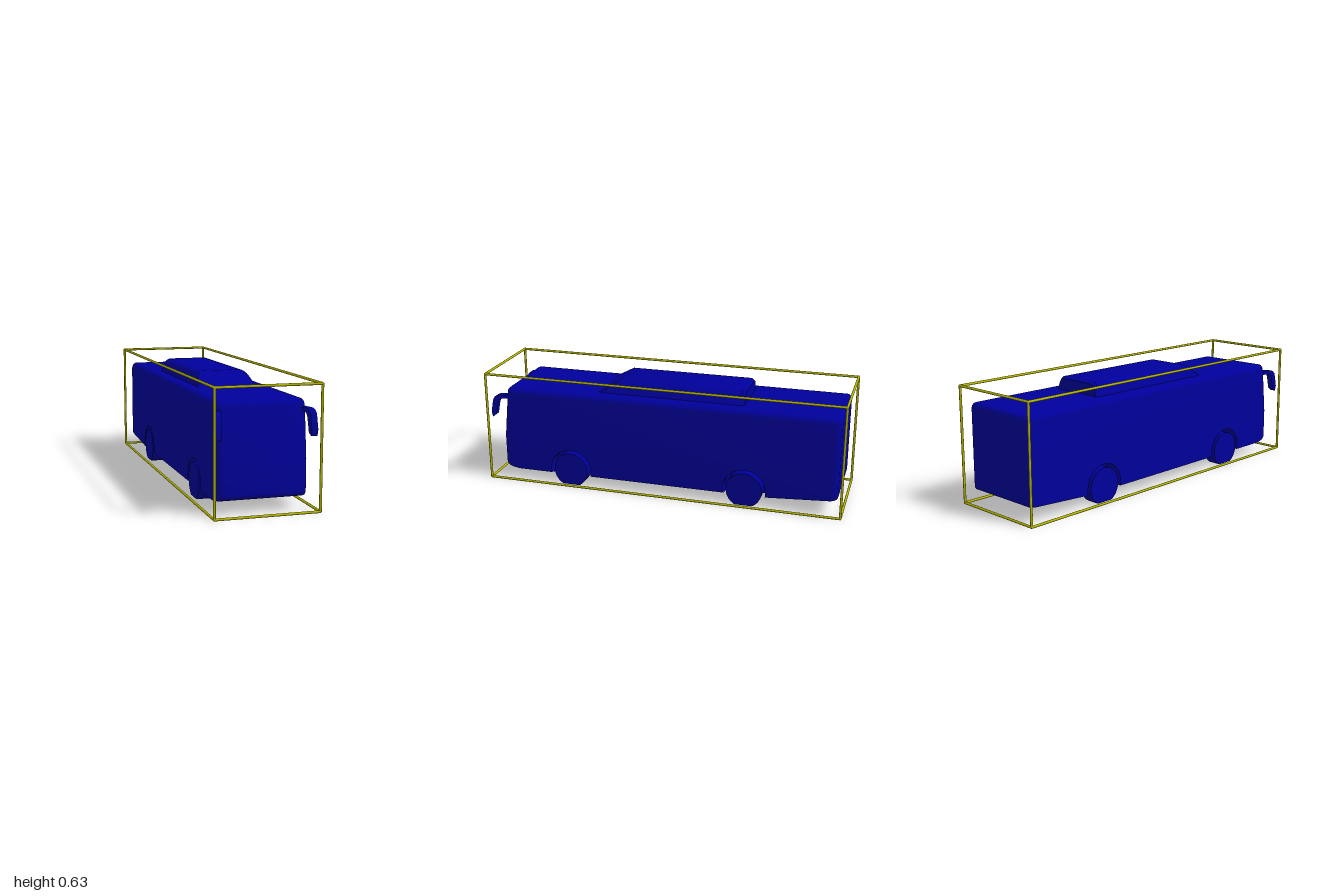
import * as THREE from 'three';
import { toCreasedNormals } from 'three/addons/utils/BufferGeometryUtils.js';

const HALF_W = 0.227, BOTTOM = 0.061, WHEEL_Y = 0.086, WHEEL_R = 0.098, ARCH_R = 0.118;
const AXLES = [-0.47, 0.52];
const blue = new THREE.MeshStandardMaterial({ color: 0x00009c });
const blueThin = new THREE.MeshStandardMaterial({ color: 0x00009c, side: THREE.DoubleSide });
const yellow = new THREE.MeshStandardMaterial({ color: 0xb4b400 });

function part(parent, name, geometry, material = blue) {
  const mesh = new THREE.Mesh(geometry, material);
  mesh.name = name;
  parent.add(mesh);
  return mesh;
}

// Moves every vertex by a rule that edits the given vector
function reshape(geometry, rule) {
  const pos = geometry.attributes.position;
  const v = new THREE.Vector3();
  for (let i = 0; i < pos.count; i++) {
    rule(v.fromBufferAttribute(pos, i));
    pos.setXYZ(i, v.x, v.y, v.z);
  }
  return toCreasedNormals(geometry, 0.6);
}

const onArch = v => AXLES.some(z => Math.hypot(v.z - z, v.y - WHEEL_Y) < ARCH_R + 0.001);
const onUnderside = v => v.y < BOTTOM + 0.005 + Math.max(0, -0.77 - v.z) * 0.117;

// Leaves out the triangles whose three corners all pass the test
function withoutFaces(geometry, test) {
  const pos = geometry.attributes.position;
  const kept = [];
  for (let i = 0; i < pos.count; i += 3) {
    const corners = [0, 1, 2].map(k => new THREE.Vector3().fromBufferAttribute(pos, i + k));
    if (!corners.every(test)) kept.push(...corners);
  }
  return toCreasedNormals(new THREE.BufferGeometry().setFromPoints(kept), 0.6);
}

// Side profile with wheel arches, extruded across, rounded at both sides, open below
function bodyGeometry() {
  const s = new THREE.Shape();
  const dip = Math.asin((WHEEL_Y - BOTTOM) / ARCH_R);
  s.moveTo(-0.77, BOTTOM);
  for (const z of AXLES) s.absarc(z, WHEEL_Y, ARCH_R, Math.PI + dip, -dip, true);
  s.lineTo(0.85, BOTTOM);
  s.quadraticCurveTo(0.92, 0.063, 0.92, 0.095);
  s.lineTo(0.92, 0.25);
  s.lineTo(0.892, 0.51);
  s.quadraticCurveTo(0.888, 0.54, 0.862, 0.54);
  s.lineTo(-0.94, 0.54);
  s.quadraticCurveTo(-0.97, 0.54, -0.97, 0.51);
  s.lineTo(-0.97, 0.105);
  s.quadraticCurveTo(-0.97, 0.085, -0.95, 0.082);
  s.closePath();

  const n = 5, steps = 2 * n + 1, r = 0.03;
  const g = new THREE.ExtrudeGeometry(s, { depth: steps, steps, bevelEnabled: false, curveSegments: 20 });
  g.translate(0, 0, -steps / 2);
  g.rotateY(-Math.PI / 2);
  const shell = reshape(g, v => {
    const a = (Math.abs(v.x) - 0.5) / n * Math.PI / 2;
    const inset = r * (1 - Math.cos(a));
    v.x = Math.sign(v.x) * (HALF_W - r + r * Math.sin(a));
    if (onArch(v)) return;
    v.z *= 1 - inset / 0.945;
    if (v.y > 0.3) v.y = 0.3 + (v.y - 0.3) * (1 - inset / 0.24);
  });
  const openBelow = withoutFaces(shell, onUnderside);
  return withoutFaces(openBelow, v => onArch(v) && Math.abs(v.x) < HALF_W - r + 0.001);
}

// Rounded cross-section run along the roof, with a sloping nose
function roofPodGeometry() {
  const s = new THREE.Shape();
  s.moveTo(-0.157, 0.538);
  s.lineTo(0.157, 0.538);
  s.lineTo(0.143, 0.578);
  s.quadraticCurveTo(0.132, 0.612, 0.1, 0.613);
  s.lineTo(-0.1, 0.613);
  s.quadraticCurveTo(-0.132, 0.612, -0.143, 0.578);
  s.closePath();
  const g = new THREE.ExtrudeGeometry(s, { depth: 3, steps: 3, bevelEnabled: false, curveSegments: 8 });
  const stations = [-0.447, -0.43, 0.358, 0.376];
  return reshape(g, v => {
    const k = Math.round(v.z);
    const rise = Math.max(0, v.y - 0.54);
    v.z = stations[k] - (k > 1 ? rise * 1.5 : 0);
    if (k === 0 || k === 3) {
      v.x *= 0.93;
      v.y -= rise * 0.15;
    }
  });
}

// Hooked mirror, leaning outwards as it reaches forward
function mirrorGeometry(side) {
  const s = new THREE.Shape();
  s.moveTo(0.86, 0.478);
  s.lineTo(0.915, 0.478);
  s.quadraticCurveTo(0.932, 0.475, 0.937, 0.45);
  s.lineTo(0.949, 0.385);
  s.lineTo(0.968, 0.37);
  s.lineTo(0.974, 0.4);
  s.lineTo(0.962, 0.47);
  s.quadraticCurveTo(0.953, 0.498, 0.925, 0.5);
  s.lineTo(0.86, 0.5);
  s.closePath();
  const g = new THREE.ExtrudeGeometry(s, { depth: 0.032, bevelEnabled: false, curveSegments: 6 });
  g.translate(0, 0, -0.016);
  g.rotateY(-Math.PI / 2);
  return reshape(g, v => { v.x += side * (0.216 + (v.z - 0.88) * 0.23); });
}

// Tyre flattened where it meets the ground
function wheelGeometry() {
  const g = new THREE.CylinderGeometry(WHEEL_R, WHEEL_R, 0.073, 48);
  g.rotateZ(Math.PI / 2);
  g.translate(0, WHEEL_Y, 0);
  return reshape(g, v => { v.y = Math.max(v.y, 0.001); });
}

// Curved wheel housing with its inner wall, open below
function addWheelWell(parent, side, z) {
  const r = ARCH_R - 0.001, dip = 0.295;
  const well = new THREE.Group();
  well.name = 'wheelWell';
  well.position.set(0, WHEEL_Y, z);
  parent.add(well);
  const lining = new THREE.CylinderGeometry(r, r, 0.06, 32, 1, true, -dip, Math.PI + 2 * dip);
  lining.rotateZ(Math.PI / 2);
  part(well, 'wellLining', lining, blueThin).position.x = side * 0.18;
  const outline = new THREE.Shape().absarc(0, 0, r, -dip, Math.PI + dip, false);
  const wall = new THREE.ShapeGeometry(outline, 32).rotateY(-Math.PI / 2);
  part(well, 'wellInnerWall', wall, blueThin).position.x = side * 0.15;
}

// Round bars on the twelve edges of a box, with ball joints at the corners
function addFrame(parent) {
  const frame = new THREE.Group();
  frame.name = 'boundaryFrame';
  parent.add(frame);
  const r = 0.0068, X = 0.2635, Y = 0.307, Z = 0.9932, midY = 0.3145;
  const bar = length => new THREE.CylinderGeometry(r, r, length, 12, 1, true);
  for (const a of [-1, 1]) for (const b of [-1, 1]) {
    const across = part(frame, 'crossBar', bar(2 * X), yellow);
    across.rotation.z = Math.PI / 2;
    across.position.set(0, midY + a * Y, b * Z);
    const upright = part(frame, 'uprightBar', bar(2 * Y), yellow);
    upright.position.set(a * X, midY, b * Z);
    const long = part(frame, 'longBar', bar(2 * Z), yellow);
    long.rotation.x = Math.PI / 2;
    long.position.set(a * X, midY + b * Y, 0);
    for (const c of [-1, 1]) {
      part(frame, 'cornerJoint', new THREE.SphereGeometry(r, 12, 8), yellow)
        .position.set(a * X, midY + b * Y, c * Z);
    }
  }
}

export function createModel() {
  const model = new THREE.Group();
  model.name = 'bus';
  part(model, 'body', bodyGeometry(), blueThin);
  part(model, 'roofPod', roofPodGeometry());
  for (const side of [-1, 1]) {
    part(model, side > 0 ? 'leftMirror' : 'rightMirror', mirrorGeometry(side));
    for (const z of AXLES) {
      part(model, 'wheel', wheelGeometry()).position.set(side * 0.1915, 0, z);
      addWheelWell(model, side, z);
    }
  }
  addFrame(model);
  return model;
}
